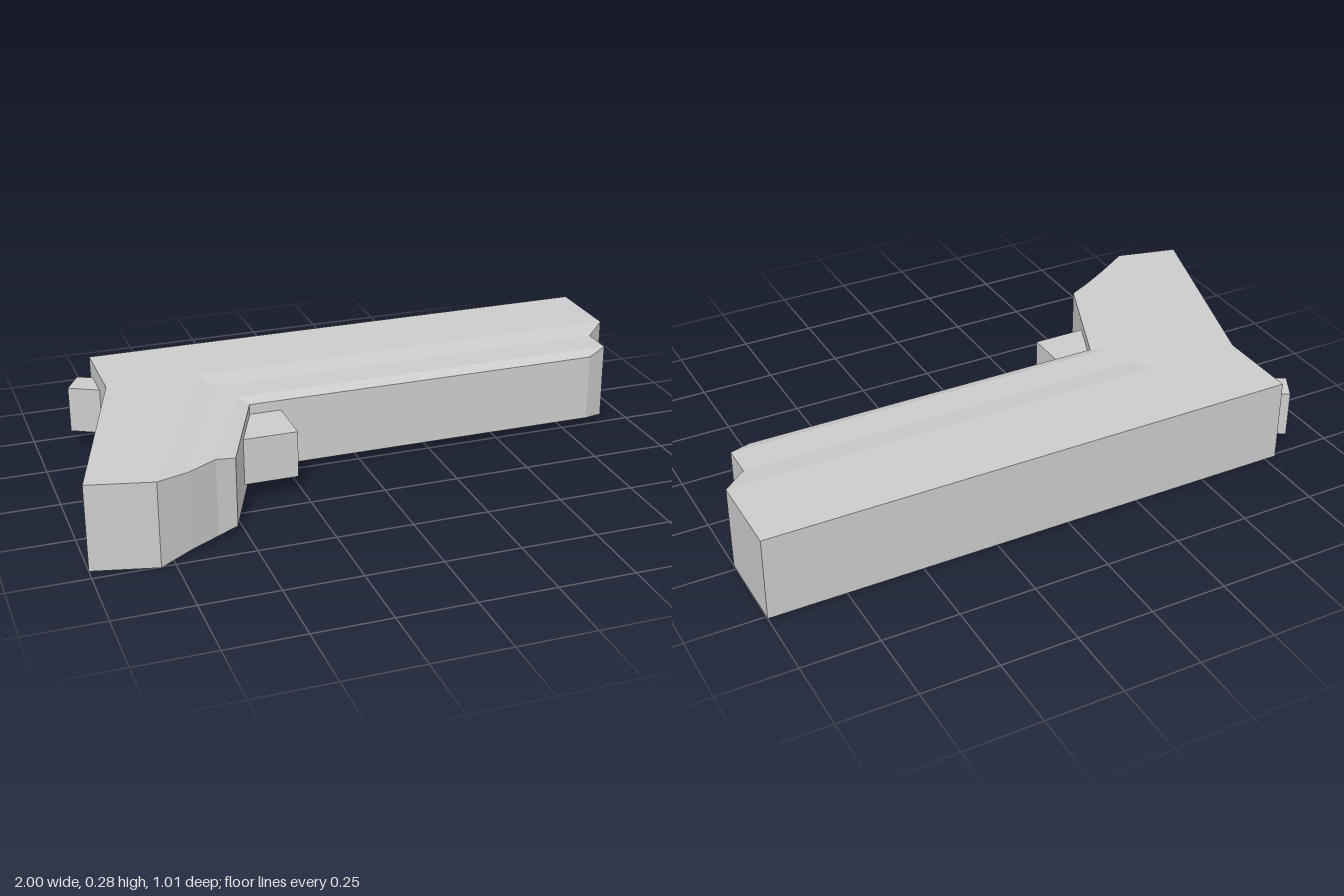
import * as THREE from 'three';

const MID = 0.14; // half of the body's thickness, the plane of symmetry

// Rows run from the spine to the inner edge; each lists the (x, z) points
// barrel end, rear corner, heel, grip end, and its half thickness.
const ROWS = [
  { half: 0.14, pts: [[1, -0.51], [-0.79, -0.51], [-0.79, -0.23], [-1, 0.455]] },
  { half: 0.14, pts: [[1, -0.23], [-0.48, -0.23], [-0.48, -0.23], [-0.795, 0.505]] },
  { half: 0.128, pts: [[0.915, -0.145], [-0.44, -0.145], [-0.44, -0.145], [-0.69, 0.45]] },
  { half: 0.128, pts: [[0.915, -0.035], [-0.405, -0.035], [-0.405, -0.035], [-0.59, 0.392]] },
  { half: 0.114, pts: [[0.84, 0.005], [-0.375, 0.005], [-0.375, 0.005], [-0.525, 0.375]] },
];

function bodyGeometry() {
  const positions = [];
  const point = (row, s, side) => {
    const [x, z] = ROWS[row].pts[s];
    return new THREE.Vector3(x, MID + side * ROWS[row].half, z);
  };
  const top = (r, s) => point(r, s, 1);
  const bottom = (r, s) => point(r, s, -1);
  const tri = (a, b, c) => {
    if (new THREE.Triangle(a, b, c).getArea() < 1e-6) return;
    for (const p of [a, b, c]) positions.push(p.x, p.y, p.z);
  };
  const quad = (a, b, c, d) => { tri(a, b, c); tri(a, c, d); };

  const last = ROWS.length - 1;
  for (let s = 0; s < 3; s++) {
    // upper and lower faces
    for (let r = 0; r < last; r++) {
      quad(top(r, s), top(r, s + 1), top(r + 1, s + 1), top(r + 1, s));
      quad(bottom(r + 1, s), bottom(r + 1, s + 1), bottom(r, s + 1), bottom(r, s));
    }
    // spine and inner walls
    quad(top(0, s + 1), top(0, s), bottom(0, s), bottom(0, s + 1));
    quad(top(last, s), top(last, s + 1), bottom(last, s + 1), bottom(last, s));
  }
  // stepped end walls
  for (let r = 0; r < last; r++) {
    quad(top(r, 0), top(r + 1, 0), bottom(r + 1, 0), bottom(r, 0));
    quad(top(r + 1, 3), top(r, 3), bottom(r, 3), bottom(r + 1, 3));
  }
  const geometry = new THREE.BufferGeometry();
  geometry.setAttribute('position', new THREE.Float32BufferAttribute(positions, 3));
  geometry.computeVertexNormals();
  return geometry;
}

export function createModel() {
  const group = new THREE.Group();
  const material = new THREE.MeshStandardMaterial({ color: 0xcccccc, flatShading: true });
  const add = (name, geometry, x = 0, y = 0, z = 0) => {
    const mesh = new THREE.Mesh(geometry, material);
    mesh.name = name;
    mesh.position.set(x, y, z);
    group.add(mesh);
    return mesh;
  };

  // barrel and grip in one bevelled piece
  add('body', bodyGeometry());

  // trigger block, tucked into the inner corner
  add('trigger', new THREE.BoxGeometry(0.21, 0.156, 0.22), -0.375, 0.142, 0.075);

  // tilted hammer at the rear end
  add('hammer', new THREE.BoxGeometry(0.16, 0.156, 0.1), -0.792, 0.142, -0.412).rotation.y = -0.5;

  return group;
}
